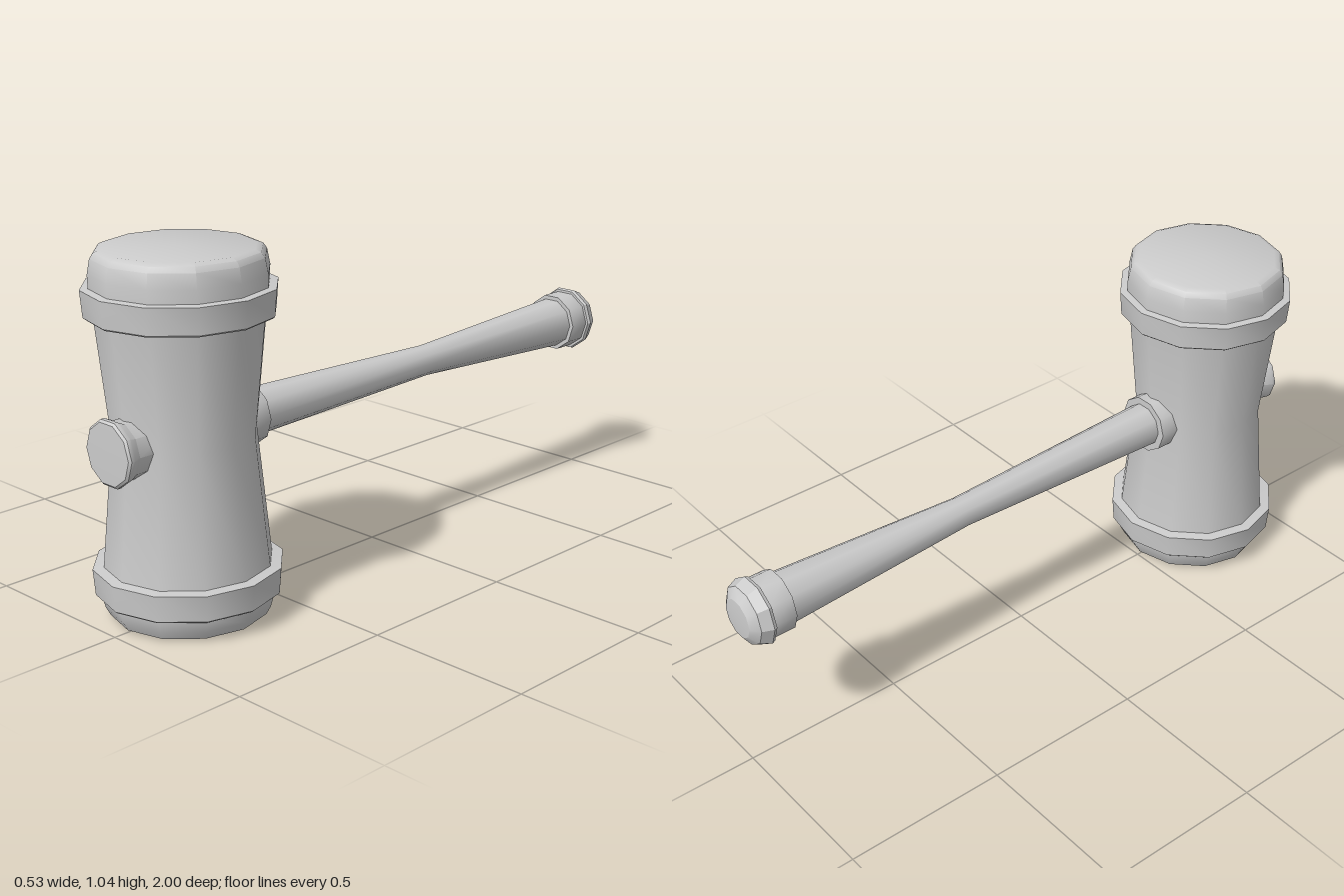
import * as THREE from 'three';
import { toCreasedNormals } from 'three/addons/utils/BufferGeometryUtils.js';

const HEAD_Z = 0.733, HANDLE_Y = 0.52;
const material = new THREE.MeshStandardMaterial({ color: 0xcccccc });

// Faceted turned part: profile of [radius, height], first point lowest
function turned(name, profile, sides, crease, phiStart = 0) {
  const points = profile.map(([r, h]) => new THREE.Vector2(r, h));
  const geometry = toCreasedNormals(new THREE.LatheGeometry(points, sides, phiStart), crease);
  const mesh = new THREE.Mesh(geometry, material);
  mesh.name = name;
  return mesh;
}

export function createModel() {
  const model = new THREE.Group();
  model.name = 'mallet';

  // Head: upright, twelve-sided, waisted in the middle
  const head = new THREE.Group();
  head.name = 'head';
  head.position.z = HEAD_Z;
  const headPart = (name, profile) => head.add(turned(name, profile, 12, 0.62));
  headPart('headBody', [[0.24, 0.11], [0.236, 0.148], [0.2, 0.52], [0.234, 0.855], [0.238, 0.9]]);
  headPart('topCap', [[0.243, 0.9], [0.245, 0.972], [0.237, 1.015], [0.227, 1.03], [0.21, 1.037], [0, 1.037]]);
  headPart('bottomCap', [[0, 0], [0.205, 0], [0.222, 0.006], [0.235, 0.03], [0.245, 0.066], [0.245, 0.11]]);

  // Flared bands around both ends
  for (const [name, y] of [['topBand', 0.853], ['bottomBand', 0.067]]) {
    headPart(name, [[0.225, y], [0.255, y], [0.261, y + 0.005], [0.267, y + 0.08], [0.232, y + 0.084]]);
  }
  model.add(head);

  // Handle: ten-sided, running front to back through the head
  const handle = new THREE.Group();
  handle.name = 'handle';
  handle.position.y = HANDLE_Y;
  handle.rotation.x = Math.PI / 2;
  const handlePart = (name, profile, crease = 0.7) =>
    handle.add(turned(name, profile, 10, crease, Math.PI / 2));
  handlePart('shaft', [[0.082, -0.9], [0.079, -0.86], [0.047, -0.23], [0.069, 0.5], [0.069, 0.6]]);
  handlePart('headCollar', [[0.05, 0.497], [0.091, 0.497], [0.091, 0.6]]);
  handlePart('frontKnob', [[0.083, 0.85], [0.083, 0.955], [0.095, 0.98], [0.095, 0.992], [0.088, 0.998], [0, 1]]);
  handlePart('gripCollar', [[0.06, -0.935], [0.092, -0.935], [0.092, -0.862], [0.06, -0.862]]);
  handlePart('pommel', [[0, -1], [0.06, -0.995], [0.09, -0.975], [0.104, -0.942], [0.1, -0.932], [0.06, -0.932]], 0.4);
  model.add(handle);

  return model;
}
